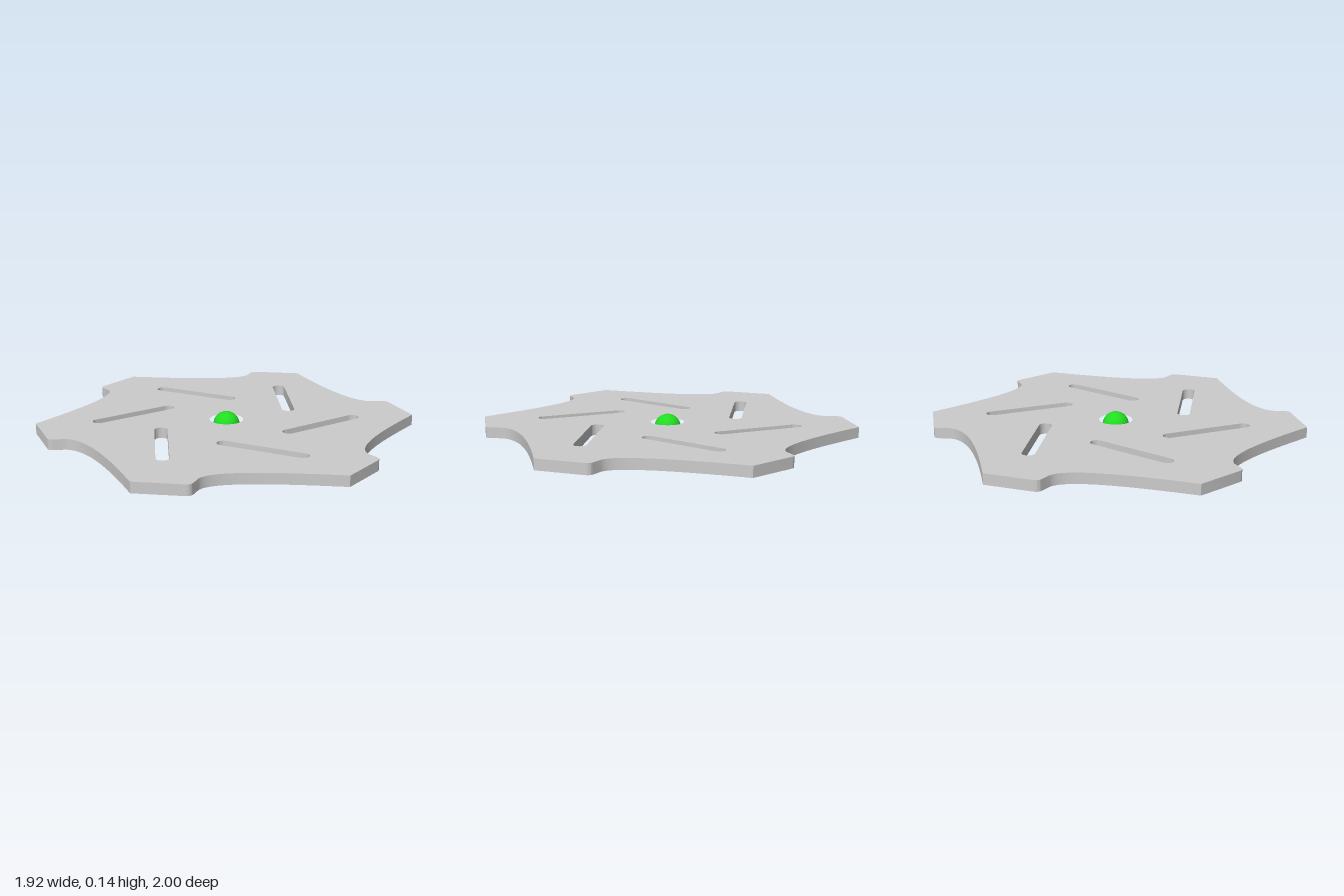
import * as THREE from 'three';
import { toCreasedNormals } from 'three/addons/utils/BufferGeometryUtils.js';

const TEETH = 6;
const THICKNESS = 0.057;
const BALL_RADIUS = 0.071;

// Point turned clockwise by i sixths of a circle
const turned = (x, y, i) => {
  const p = new THREE.Vector2(x, y).rotateAround(new THREE.Vector2(), -i * Math.PI * 2 / TEETH);
  return [p.x, p.y];
};

// Straight slot with round ends, from centre a to centre b
function slotPath(a, b, r) {
  const angle = Math.atan2(b[1] - a[1], b[0] - a[0]);
  const path = new THREE.Path();
  path.absarc(b[0], b[1], r, angle - Math.PI / 2, angle + Math.PI / 2, false);
  path.absarc(a[0], a[1], r, angle + Math.PI / 2, angle + Math.PI * 1.5, false);
  path.closePath();
  return path;
}

// Six-toothed outline: pointed tip, sweeping hollow, rounded shoulder
function discShape() {
  const shape = new THREE.Shape();
  shape.moveTo(0.787, 0.638);
  for (let i = 0; i < TEETH; i++) {
    const at = (x, y) => turned(x, y, i);
    shape.bezierCurveTo(...at(0.772, 0.30), ...at(0.778, 0), ...at(0.88, -0.055));
    shape.lineTo(...at(0.935, -0.073));
    shape.quadraticCurveTo(...at(0.961, -0.081), ...at(0.959, -0.11));
    shape.lineTo(...turned(0.787, 0.638, i + 1));
    shape.holes.push(slotPath(at(-0.092, 0.674), at(0.179, 0.341), 0.034));
  }
  // Centre bore
  const bore = new THREE.Path();
  bore.absarc(0, 0, 0.09, 0, Math.PI * 2, true);
  shape.holes.push(bore);
  return shape;
}

export function createModel() {
  const model = new THREE.Group();
  model.name = 'slottedDisc';

  // Flat toothed disc
  const plate = new THREE.ExtrudeGeometry(discShape(), {
    depth: THICKNESS, bevelEnabled: false, curveSegments: 24,
  });
  plate.rotateX(-Math.PI / 2);
  const disc = new THREE.Mesh(
    toCreasedNormals(plate, Math.PI / 7),
    new THREE.MeshStandardMaterial({ color: 0xcccccc }),
  );
  disc.name = 'toothedDisc';
  disc.position.y = BALL_RADIUS - THICKNESS / 2;
  model.add(disc);

  // Green ball floating in the bore
  const ball = new THREE.Mesh(
    new THREE.SphereGeometry(BALL_RADIUS, 32, 20),
    new THREE.MeshStandardMaterial({ color: 0x22dd22 }),
  );
  ball.name = 'centreBall';
  ball.position.y = BALL_RADIUS;
  model.add(ball);

  return model;
}
